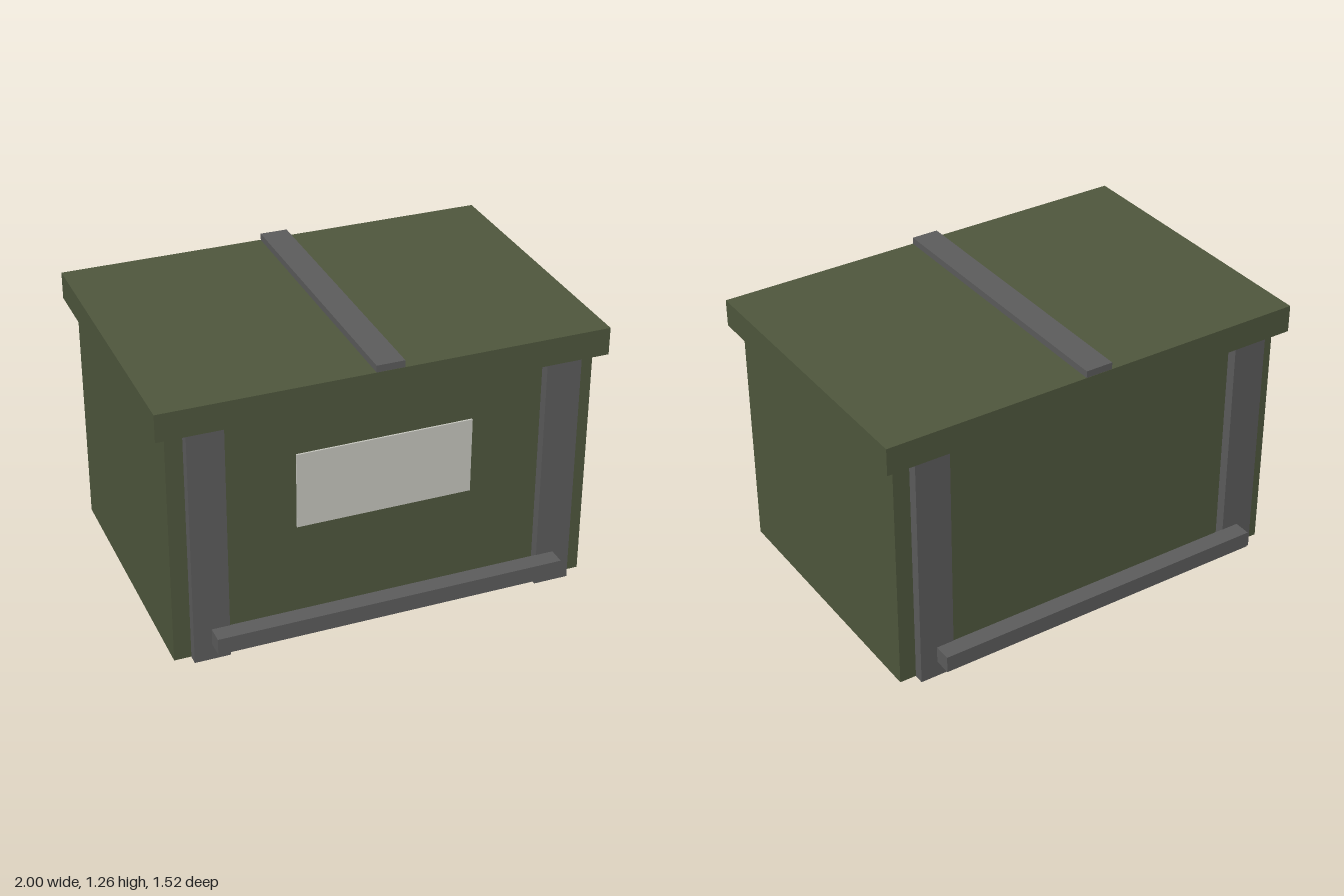
import * as THREE from 'three';

export function createModel() {
  const model = new THREE.Group();
  model.name = 'crate';

  const material = (name, color) => {
    const m = new THREE.MeshStandardMaterial({ color });
    m.name = name;
    return m;
  };
  const olive = material('olive paint', 0x50583e);
  const steel = material('grey steel', 0x5d5d5d);
  const paper = material('pale label', 0xc8c8c0);

  // Box given by its lower and upper corners
  const box = (name, mat, [x0, y0, z0], [x1, y1, z1]) => {
    const mesh = new THREE.Mesh(new THREE.BoxGeometry(x1 - x0, y1 - y0, z1 - z0), mat);
    mesh.position.set((x0 + x1) / 2, (y0 + y1) / 2, (z0 + z1) / 2);
    mesh.name = name;
    model.add(mesh);
  };

  // Body and overhanging lid
  box('body', olive, [-0.95, 0.002, -0.635], [0.95, 1.12, 0.635]);
  box('lid', olive, [-1, 1.1, -0.683], [1, 1.225, 0.683]);

  // Strap across the lid
  box('lidStrap', steel, [-0.063, 1.2, -0.682], [0.063, 1.256, 0.682]);

  for (const side of [1, -1]) {
    // Upright bands running under the body and up both faces
    const x = side * 0.794;
    box(side > 0 ? 'leftBand' : 'rightBand', steel,
      [x - 0.08, 0, -0.681], [x + 0.08, 1.11, 0.681]);

    // Carrying bars on front and back
    const z = side * 0.72;
    box(side > 0 ? 'frontBar' : 'backBar', steel,
      [-0.795, 0.075, z - 0.041], [0.795, 0.152, z + 0.041]);
  }

  // Label plate on the front
  box('label', paper, [-0.395, 0.54, 0.634], [0.395, 0.89, 0.643]);

  return model;
}
